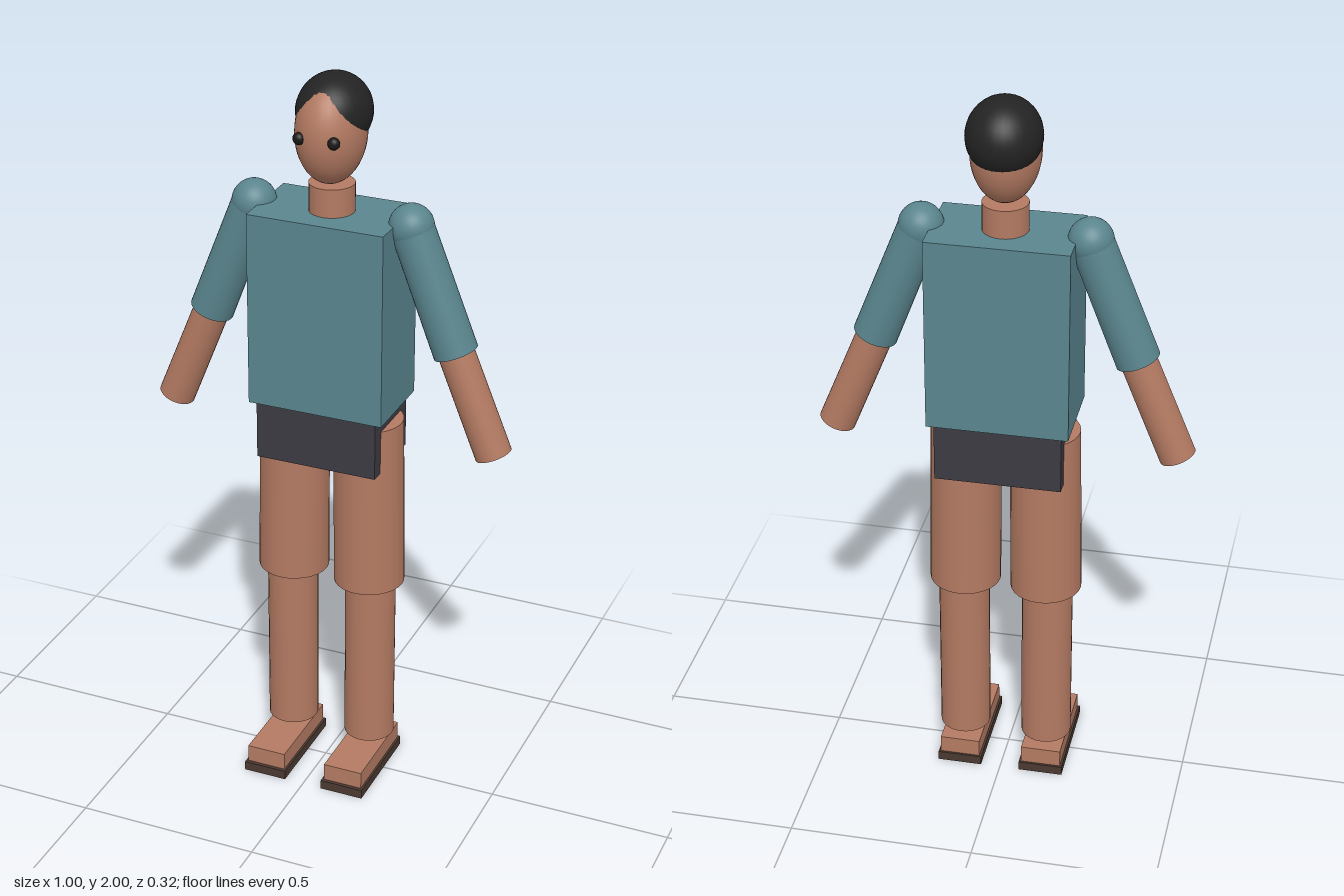
import * as THREE from 'three';

const mat = (name, color) => {
  const m = new THREE.MeshStandardMaterial({ color });
  m.name = name;
  return m;
};

export function createModel() {
  const skin = mat('skin', 0xb37a62);
  const shirt = mat('shirtTeal', 0x5a858e);
  const shorts = mat('shortsCharcoal', 0x3d3b43);
  const sole = mat('soleBrown', 0x4a3831);
  const hair = mat('hairBlack', 0x232323);
  const eye = mat('eyeBlack', 0x1a1817);

  const model = new THREE.Group();
  model.name = 'figure';
  const Z = -0.04; // body axis depth

  const add = (name, geometry, material, x, y, z) => {
    const mesh = new THREE.Mesh(geometry, material);
    mesh.name = name;
    mesh.position.set(x, y, z);
    model.add(mesh);
    return mesh;
  };
  const box = (name, material, w, h, d, x, y, z) =>
    add(name, new THREE.BoxGeometry(w, h, d), material, x, y, z);
  const ball = (name, material, rx, ry, rz, x, y, z) =>
    add(name, new THREE.SphereGeometry(1, 32, 24).scale(rx, ry, rz), material, x, y, z);

  // Cylinder between two [x, y] points in the body plane
  const limb = (name, material, top, bottom, rTop, rBottom) => {
    const a = new THREE.Vector3(top[0], top[1], Z);
    const b = new THREE.Vector3(bottom[0], bottom[1], Z);
    const axis = a.clone().sub(b);
    const mid = a.clone().add(b).multiplyScalar(0.5);
    const mesh = add(name, new THREE.CylinderGeometry(rTop, rBottom, axis.length(), 28),
      material, mid.x, mid.y, mid.z);
    mesh.quaternion.setFromUnitVectors(new THREE.Vector3(0, 1, 0), axis.normalize());
  };

  // Trunk
  box('torso', shirt, 0.374, 0.53, 0.233, 0, 1.375, Z);
  box('hips', shorts, 0.336, 0.17, 0.218, 0, 1.035, Z);

  // Neck and head
  limb('neck', skin, [0, 1.716], [0, 1.62], 0.06, 0.06);
  ball('head', skin, 0.09, 0.137, 0.108, 0, 1.854, -0.035);
  ball('hair', hair, 0.097, 0.1, 0.108, 0, 1.9, -0.055);

  for (const [side, s] of [['left', 1], ['right', -1]]) {
    ball(side + 'Eye', eye, 0.016, 0.016, 0.014, s * 0.047, 1.858, 0.06);

    // Arm
    ball(side + 'Shoulder', shirt, 0.059, 0.059, 0.059, s * 0.217, 1.63, Z);
    limb(side + 'Sleeve', shirt, [s * 0.217, 1.63], [s * 0.344, 1.304], 0.057, 0.059);
    limb(side + 'Forearm', skin, [s * 0.336, 1.324], [s * 0.455, 1.032], 0.048, 0.049);

    // Leg
    limb(side + 'Thigh', skin, [s * 0.106, 1.07], [s * 0.111, 0.583], 0.093, 0.096);
    limb(side + 'Shin', skin, [s * 0.115, 0.62], [s * 0.115, 0.095], 0.069, 0.069);

    // Foot
    box(side + 'Foot', skin, 0.11, 0.05, 0.272, s * 0.115, 0.05, 0.016);
    box(side + 'Sole', sole, 0.122, 0.026, 0.288, s * 0.115, 0.013, 0.018);
  }
  return model;
}
